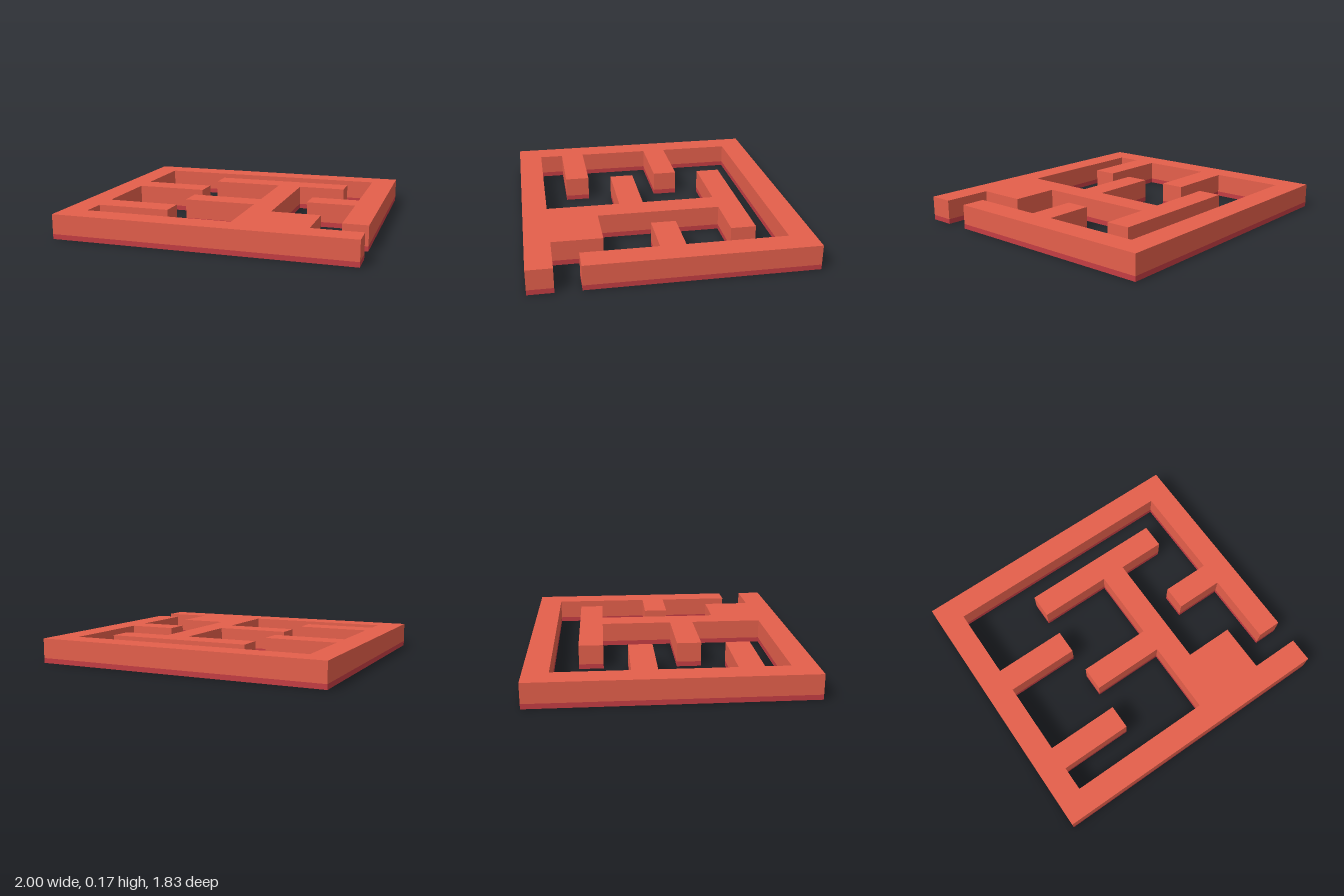
import * as THREE from 'three';

const UNIT = 1 / 12; // half a wall thickness

// Outline of the connected maze walls as [x, z] corners in units
const OUTLINE = [
  // outer back edge and right wall with its stub
  [-12, -11], [12, -11], [12, 7], [10, 7], [10, 1], [6, 1], [6, -1], [10, -1], [10, -9],
  // inside of the back and left walls with two stubs
  [-10, -9], [-10, -3], [-4, -3], [-4, -1], [-10, -1], [-10, 5], [-4, 5], [-4, 7], [-10, 7], [-10, 9],
  // central T-shaped wall, its branch and thick foot
  [2, 9], [2, 3], [-4, 3], [-4, 1], [2, 1], [2, -5], [-4, -5], [-4, -7], [8, -7], [8, -5],
  [4, -5], [4, 5], [8, 5], [8, 9],
  // front wall
  [12, 9], [12, 11], [-12, 11],
];

function mazeLayer(name, bottom, top, color) {
  const shape = new THREE.Shape(OUTLINE.map(([x, z]) => new THREE.Vector2(x * UNIT, -z * UNIT)));
  const geometry = new THREE.ExtrudeGeometry(shape, { depth: top - bottom, bevelEnabled: false });
  geometry.rotateX(-Math.PI / 2);
  geometry.translate(0, bottom, 0);
  const mesh = new THREE.Mesh(geometry, new THREE.MeshStandardMaterial({ color }));
  mesh.name = name;
  return mesh;
}

export function createModel() {
  const model = new THREE.Group();
  model.name = 'maze';
  model.add(
    mazeLayer('baseBand', 0, 0.2 * 2 * UNIT, 0xc43d43), // darker strip along the foot
    mazeLayer('mazeWalls', 0.2 * 2 * UNIT, 2 * UNIT, 0xe45f4b),
  );
  return model;
}
